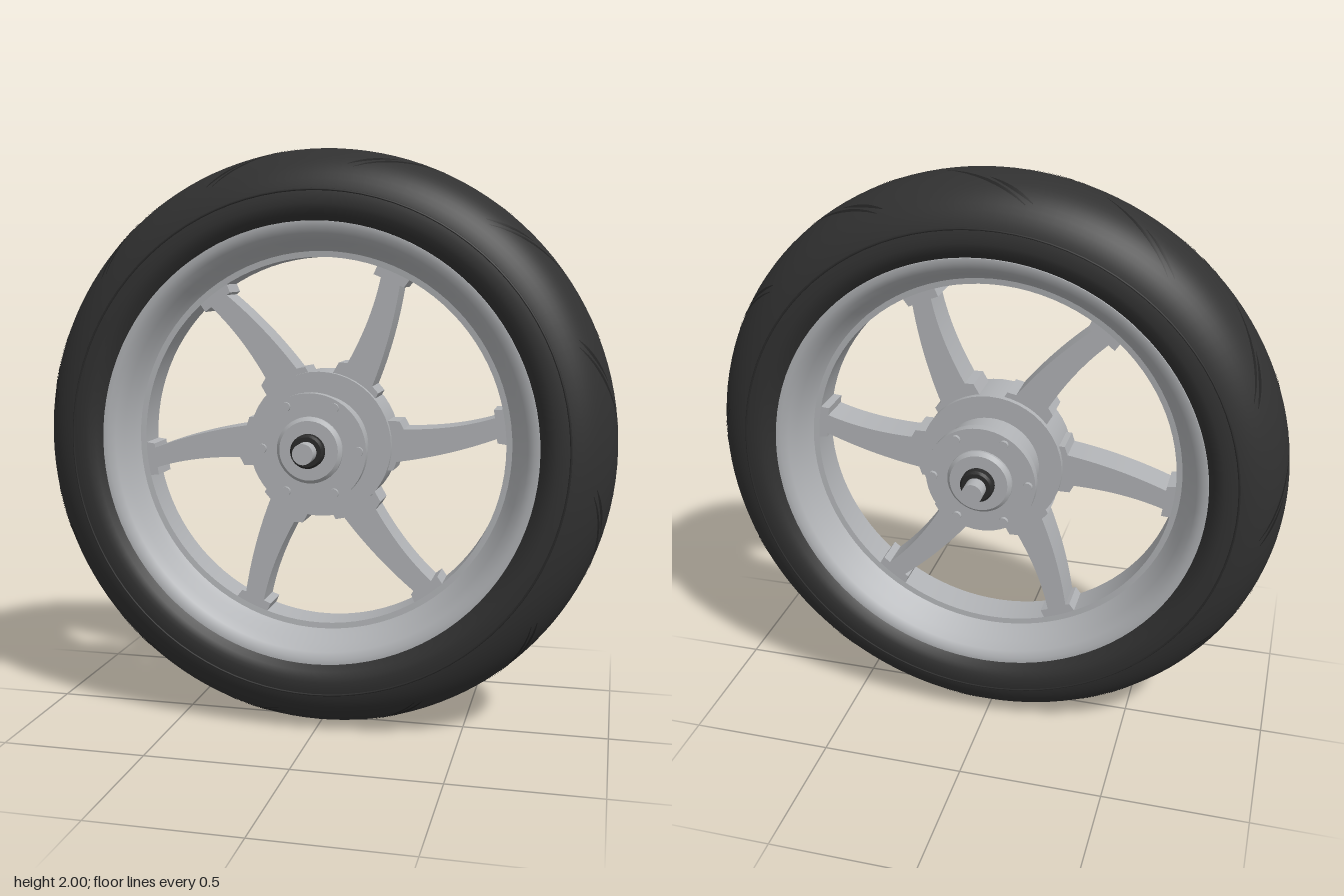
import * as THREE from 'three';
import { mergeGeometries, toCreasedNormals } from 'three/addons/utils/BufferGeometryUtils.js';

const rubber = new THREE.MeshStandardMaterial({ color: 0x313131 });
const grooveDark = new THREE.MeshStandardMaterial({ color: 0x222222, side: THREE.DoubleSide });
const silver = new THREE.MeshStandardMaterial({ color: 0xb0b2b5 });
const nutBlack = new THREE.MeshStandardMaterial({ color: 0x2a2a2a });

const TAU = Math.PI * 2;
const rad = THREE.MathUtils.degToRad;

// Crown radius of the tyre at a given offset from its centre plane
const crown = (z) => 0.81 + 0.19 * Math.sqrt(Math.max(0, 1 - (z / 0.2) ** 2));

// Revolve [radius, z] points around the z axis
function revolve(points, segments = 96, crease = 0.5) {
  const g = new THREE.LatheGeometry(points.map(([r, z]) => new THREE.Vector2(r, z)), segments);
  return toCreasedNormals(g.rotateX(Math.PI / 2), crease);
}

// Flat cylinder along z between z0 and z1
function disc(radius, z0, z1, segments = 48) {
  return new THREE.CylinderGeometry(radius, radius, z1 - z0, segments)
    .rotateX(Math.PI / 2).translate(0, 0, (z0 + z1) / 2);
}

function extrude(shape, depth) {
  const g = new THREE.ExtrudeGeometry(shape, { depth, bevelEnabled: false, curveSegments: 12 });
  return toCreasedNormals(g.translate(0, 0, -depth / 2), 0.5);
}

function tyreGeometry() {
  const sidewall = [[0.735, 0.145], [0.757, 0.168], [0.775, 0.187], [0.795, 0.197]];
  const pts = sidewall.map(([r, z]) => [r, -z]);
  for (let i = 0; i <= 28; i++) {
    const z = -0.2 * Math.cos((Math.PI * i) / 28);
    pts.push([crown(z), z]);
  }
  pts.push(...sidewall.slice().reverse());
  return revolve(pts, 128, 0.8);
}

function rimGeometry() {
  const half = [[0.757, 0.16], [0.755, 0.17], [0.737, 0.17], [0.715, 0.155],
    [0.693, 0.125], [0.675, 0.085], [0.657, 0.062], [0.637, 0.06]];
  return revolve([...half, ...half.slice().reverse().map(([r, z]) => [r, -z])], 96, 0.6);
}

// Tapered strip wrapped over the crown, running diagonally around the tyre
function grooveStrip(phi0, side, t0, t1, shift) {
  const pos = [], index = [], steps = 8;
  for (let i = 0; i <= steps; i++) {
    const t = t0 + ((t1 - t0) * i) / steps;
    const phi = phi0 + rad(8 - 17 * t + shift);
    const width = 0.001 + 0.005 * Math.sin((Math.PI * i) / steps);
    for (const s of [-1, 1]) {
      const z = side * (0.15 - 0.13 * t + s * width);
      const r = crown(z) + 0.002;
      pos.push(r * Math.cos(phi), r * Math.sin(phi), z);
    }
    if (i < steps) {
      const a = i * 2;
      if (side > 0) index.push(a, a + 1, a + 2, a + 1, a + 3, a + 2);
      else index.push(a, a + 2, a + 1, a + 1, a + 2, a + 3);
    }
  }
  const g = new THREE.BufferGeometry();
  g.setAttribute('position', new THREE.Float32BufferAttribute(pos, 3));
  g.setIndex(index);
  g.computeVertexNormals();
  return g;
}

// Curved spoke with a stepped root and a flared tip
function spokeGeometry() {
  const s = new THREE.Shape();
  s.moveTo(0.18, -0.085);
  s.lineTo(0.255, -0.085);
  s.lineTo(0.265, -0.055);
  s.lineTo(0.285, -0.052);
  s.quadraticCurveTo(0.45, -0.025, 0.605, 0.035);
  s.lineTo(0.607, 0.02);
  s.lineTo(0.646, 0.015);
  s.lineTo(0.634, 0.135);
  s.lineTo(0.593, 0.132);
  s.lineTo(0.597, 0.105);
  s.quadraticCurveTo(0.46, 0.06, 0.29, 0.058);
  s.lineTo(0.275, 0.085);
  s.lineTo(0.18, 0.085);
  s.closePath();
  return extrude(s, 0.12);
}

export function createModel() {
  const model = new THREE.Group();
  model.name = 'wheel';
  const wheel = new THREE.Group();
  wheel.name = 'wheelAssembly';
  wheel.position.y = 1;
  model.add(wheel);

  const add = (name, geometry, material, parent = wheel) => {
    const mesh = new THREE.Mesh(geometry, material);
    mesh.name = name;
    parent.add(mesh);
    return mesh;
  };

  add('tyre', tyreGeometry(), rubber);
  add('rim', rimGeometry(), silver);

  // Tread grooves, staggered between the two shoulders
  const strips = [];
  for (let i = 0; i < 12; i++) {
    for (const side of [1, -1]) {
      const phi = rad(i * 30 + (side > 0 ? 14 : 0));
      strips.push(grooveStrip(phi, side, 0, 1, 0));
      strips.push(grooveStrip(phi, side, 0.05, 0.6, 2.2));
    }
  }
  add('treadGrooves', mergeGeometries(strips), grooveDark);

  // Hub body and six spokes
  add('hubBody', disc(0.25, -0.08, 0.08), silver);
  const spoke = spokeGeometry();
  for (let i = 0; i < 6; i++) add('spoke', spoke, silver).rotation.z = (i * TAU) / 6;

  // Bearing flanges, bolts and nuts on both sides
  for (const side of [0, 1]) {
    const end = new THREE.Group();
    end.name = side ? 'backHubEnd' : 'frontHubEnd';
    end.rotation.y = side * Math.PI;
    wheel.add(end);
    add('sidewallLine', new THREE.TorusGeometry(0.855, 0.004, 6, 96).translate(0, 0, 0.194), nutBlack, end);
    add('spacer', disc(0.172, 0.07, 0.19), silver, end);
    add('flange', disc(0.19, 0.18, 0.213), silver, end);
    add('flangeStep', revolve([[0.112, 0.21], [0.112, 0.222], [0.1, 0.235], [0, 0.235]], 48), silver, end);
    add('axleNut', revolve([[0.057, 0.23], [0.057, 0.258], [0.05, 0.267], [0, 0.267]], 32), nutBlack, end);
    for (let i = 0; i < 6; i++) {
      const a = (i * TAU) / 6;
      add('flangeBolt', disc(0.016, 0.2, 0.225, 16)
        .translate(0.165 * Math.cos(a), 0.165 * Math.sin(a), 0), silver, end);
    }
  }
  add('axle', disc(0.035, -0.318, 0.318, 32), silver);

  return model;
}
